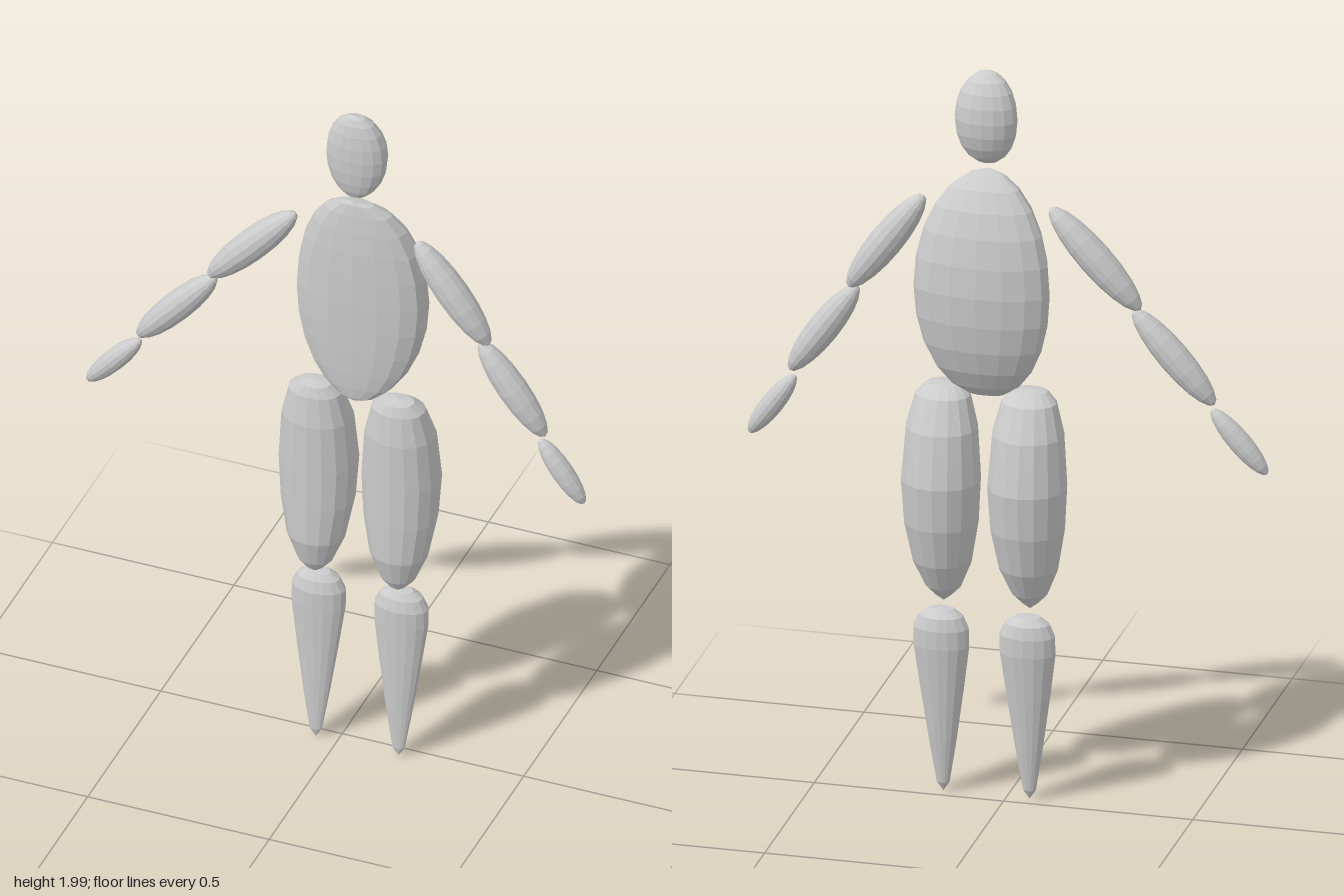
import * as THREE from 'three';

const SIDES = 16;
const CENTRE = 0.054;
const material = new THREE.MeshStandardMaterial({ color: 0xcccccc, flatShading: true });

// Loft rings listed top to bottom: [y, halfWidth, seamZ, backDepth, frontDepth].
// A frontPower below 1 flattens the front face.
function loft(name, rings, x, frontPower = 1) {
  const positions = [];
  const index = [];
  rings.forEach(([y, w, seam, back, front], r) => {
    for (let i = 0; i < SIDES; i++) {
      const a = (i / SIDES) * Math.PI * 2;
      const c = Math.abs(Math.cos(a)) < 1e-6 ? 0 : Math.cos(a);
      const z = c > 0 ? front * Math.pow(c, frontPower) : back * c;
      positions.push(Math.sin(a) * w, y, seam + z);
      if (r === 0) continue;
      const j = (i + 1) % SIDES;
      const t = (r - 1) * SIDES;
      const b = r * SIDES;
      index.push(t + i, b + i, b + j, t + i, b + j, t + j);
    }
  });
  const geometry = new THREE.BufferGeometry();
  geometry.setAttribute('position', new THREE.Float32BufferAttribute(positions, 3));
  geometry.setIndex(index);
  geometry.computeVertexNormals();
  const mesh = new THREE.Mesh(geometry, material);
  mesh.name = name;
  mesh.position.x = x;
  return mesh;
}

// Spindle between two points in the front plane
function limb(name, [x0, y0], [x1, y1], radius) {
  const length = Math.hypot(x1 - x0, y1 - y0);
  const mesh = new THREE.Mesh(new THREE.SphereGeometry(1, 14, 10), material);
  mesh.name = name;
  mesh.scale.set(radius, length / 2, radius);
  mesh.position.set((x0 + x1) / 2, (y0 + y1) / 2, 0.038);
  mesh.rotation.z = Math.atan2(x0 - x1, y1 - y0) + Math.PI;
  return mesh;
}

// Egg-shaped rings whose seam bends backwards at mid height
function eggRings(yTop, yBottom, halfWidth, poleZ, midZ, back, front, steps) {
  const rings = [];
  for (let i = 0; i <= steps; i++) {
    const a = (i / steps) * Math.PI;
    const s = Math.sin(a);
    const y = (yTop + yBottom) / 2 + Math.cos(a) * (yTop - yBottom) / 2;
    rings.push([y, halfWidth * s, poleZ + (midZ - poleZ) * s, back * s, front * s]);
  }
  return rings;
}

export function createModel() {
  const model = new THREE.Group();
  model.name = 'figure';

  // Head and torso
  model.add(loft('head', eggRings(2.0, 1.745, 0.083, 0.05, 0.03, 0.052, 0.05, 10), CENTRE, 0.8));
  model.add(loft('torso', eggRings(1.73, 1.105, 0.18, 0.05, -0.015, 0.07, 0.085, 12), CENTRE, 0.6));

  // Legs
  const thigh = [
    [1.137, 0, 0.04, 0, 0],
    [1.132, 0.045, 0.04, 0.03, 0.035],
    [1.105, 0.072, 0.03, 0.055, 0.055],
    [1.02, 0.094, 0.018, 0.083, 0.077],
    [0.88, 0.104, 0.01, 0.098, 0.085],
    [0.76, 0.097, 0.015, 0.09, 0.08],
    [0.65, 0.077, 0.025, 0.07, 0.069],
    [0.575, 0.046, 0.035, 0.04, 0.038],
    [0.55, 0.022, 0.038, 0.02, 0.02],
    [0.533, 0, 0.038, 0, 0],
  ];
  const shin = [
    [0.522, 0, 0.015, 0, 0],
    [0.52, 0.033, 0.015, 0.02, 0.02],
    [0.502, 0.058, 0.014, 0.04, 0.032],
    [0.47, 0.073, 0.012, 0.045, 0.042],
    [0.42, 0.074, 0.013, 0.045, 0.04],
    [0.3, 0.058, 0.02, 0.036, 0.03],
    [0.15, 0.036, 0.028, 0.024, 0.017],
    [0.035, 0.017, 0.033, 0.012, 0.008],
    [0.01, 0, 0.034, 0, 0],
  ];
  for (const [side, x] of [['right', -0.06], ['left', 0.168]]) {
    model.add(loft(side + 'Thigh', thigh, x, 0.85));
    model.add(loft(side + 'Shin', shin, x));
  }

  // Arms, hanging at slightly different angles
  const arms = {
    right: [
      [[-0.113, 1.642], [-0.352, 1.383]],
      [[-0.333, 1.383], [-0.548, 1.142]],
      [[-0.54, 1.13], [-0.687, 0.965]],
    ],
    left: [
      [[0.22, 1.642], [0.42, 1.37]],
      [[0.395, 1.375], [0.575, 1.125]],
      [[0.56, 1.112], [0.682, 0.942]],
    ],
  };
  for (const [side, [upper, fore, hand]] of Object.entries(arms)) {
    model.add(limb(side + 'UpperArm', ...upper, 0.043));
    model.add(limb(side + 'Forearm', ...fore, 0.04));
    model.add(limb(side + 'Hand', ...hand, 0.029));
  }

  return model;
}
